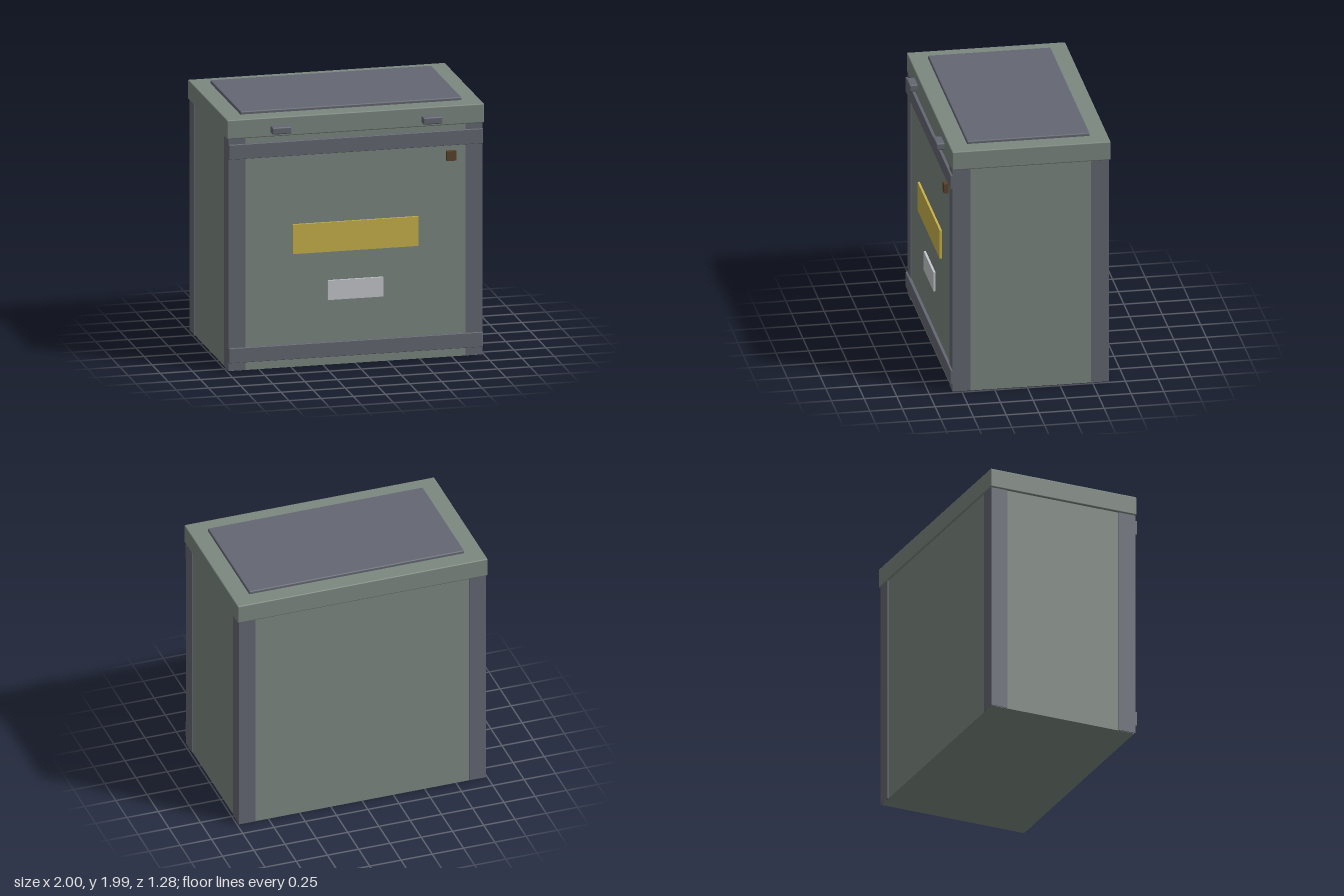
import * as THREE from 'three';
import { RoundedBoxGeometry } from 'three/addons/geometries/RoundedBoxGeometry.js';

const paint = (color) => new THREE.MeshStandardMaterial({ color });

export function createModel() {
  const model = new THREE.Group();
  const green = paint(0x7b877f);
  const slate = paint(0x646772);
  const yellow = paint(0xc8b24a);
  const silver = paint(0xc4c7cb);
  const brown = paint(0x59432b);

  // Box given by its extents on each axis, with an optional softened edge
  const box = (name, material, [x0, x1], [y0, y1], [z0, z1], bevel = 0) => {
    const size = [x1 - x0, y1 - y0, z1 - z0];
    const geometry = bevel
      ? new RoundedBoxGeometry(...size, 2, bevel)
      : new THREE.BoxGeometry(...size);
    const mesh = new THREE.Mesh(geometry, material);
    mesh.name = name;
    mesh.position.set((x0 + x1) / 2, (y0 + y1) / 2, (z0 + z1) / 2);
    model.add(mesh);
  };

  // Cabinet body
  box('body', green, [-0.98, 0.98], [0, 1.815], [-0.622, 0.565]);

  // Corner posts, slightly proud of the panels
  for (const [side, x] of [['Right', [-0.987, -0.855]], ['Left', [0.855, 0.987]]]) {
    box('frontPost' + side, slate, x, [0.003, 1.815], [0.435, 0.572]);
    box('backPost' + side, slate, x, [0.003, 1.815], [-0.628, -0.495]);
  }

  // Horizontal bands across the front
  box('lowerBand', slate, [-0.987, 0.987], [0.065, 0.18], [0.55, 0.588], 0.004);
  box('upperBand', slate, [-0.987, 0.987], [1.655, 1.77], [0.55, 0.588], 0.004);

  // Lid and its raised top plate
  box('lid', green, [-1, 1], [1.812, 1.962], [-0.638, 0.576], 0.009);
  box('topPlate', slate, [-0.86, 0.86], [1.95, 1.985], [-0.502, 0.437], 0.009);

  // Latches on the lid front
  for (const [side, x] of [['Right', -0.587], ['Left', 0.587]]) {
    box('latch' + side, slate, [x - 0.075, x + 0.075], [1.842, 1.897], [0.56, 0.638], 0.01);
  }

  // Front plates and indicator
  box('yellowPlate', yellow, [-0.488, 0.488], [0.885, 1.115], [0.55, 0.582]);
  box('labelPlate', silver, [-0.215, 0.215], [0.508, 0.66], [0.55, 0.582]);
  box('indicator', brown, [0.705, 0.78], [1.537, 1.612], [0.55, 0.6]);

  return model;
}
